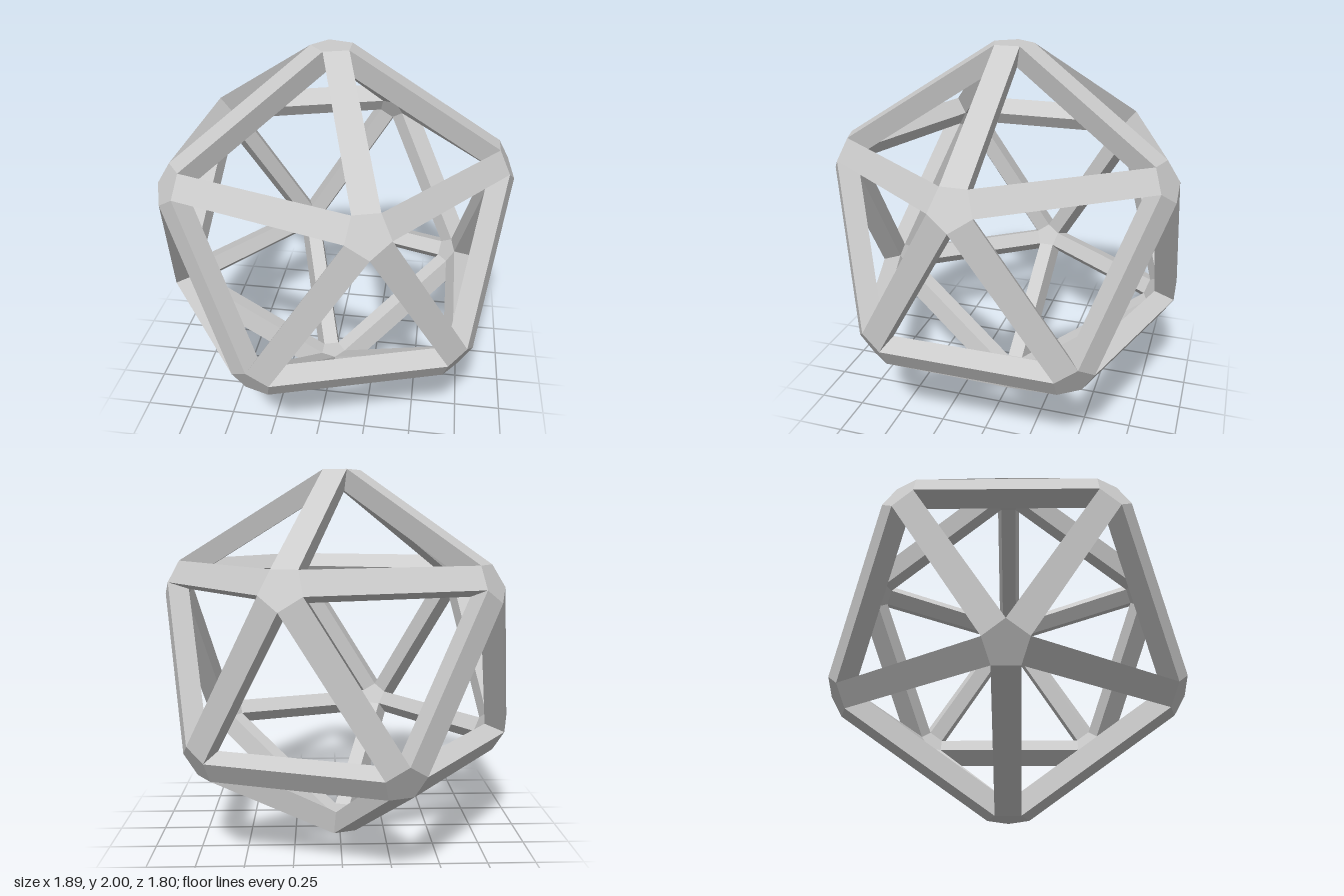
import * as THREE from 'three';

const OUTER = { h: 1, r: 0.111 };      // outer joint pentagon: distance from centre, circumradius
const INNER = { h: 0.89, r: 0.073 };   // inner joint pentagon

// Twelve directions of an icosahedron standing on one corner
function directions() {
  const list = [new THREE.Vector3(0, 1, 0), new THREE.Vector3(0, -1, 0)];
  const y = 1 / Math.sqrt(5), rad = 2 * y;
  for (let k = 0; k < 5; k++) {
    const a = k * Math.PI * 0.4, b = a + Math.PI * 0.2;
    list.push(new THREE.Vector3(rad * Math.cos(a), y, rad * Math.sin(a)));
    list.push(new THREE.Vector3(rad * Math.cos(b), -y, rad * Math.sin(b)));
  }
  return list;
}

const adjacent = (a, b) => a !== b && a.dot(b) > 0.4;

// Pentagon corner at joint v that points into the triangle v, a, b
function corner(v, a, b, ring) {
  const u = a.clone().add(b);
  u.addScaledVector(v, -u.dot(v)).normalize();
  return v.clone().multiplyScalar(ring.h).addScaledVector(u, ring.r);
}

// Flat faces of a convex part, each turned away from the part's middle
function facetGeometry(faces) {
  const all = faces.flat();
  const mid = all.reduce((s, p) => s.add(p), new THREE.Vector3()).divideScalar(all.length);
  const pos = [];
  for (const f of faces) {
    const n = f[1].clone().sub(f[0]).cross(f[2].clone().sub(f[0]));
    const poly = n.dot(f[0].clone().sub(mid)) < 0 ? [...f].reverse() : f;
    for (let i = 1; i < poly.length - 1; i++)
      for (const p of [poly[0], poly[i], poly[i + 1]]) pos.push(p.x, p.y, p.z);
  }
  const g = new THREE.BufferGeometry();
  g.setAttribute('position', new THREE.Float32BufferAttribute(pos, 3));
  g.computeVertexNormals();
  return g;
}

export function createModel() {
  const model = new THREE.Group();
  model.name = 'icosahedronFrame';
  const mat = new THREE.MeshStandardMaterial({ color: 0xcccccc, flatShading: true });
  const joints = new THREE.Group(), struts = new THREE.Group();
  joints.name = 'joints';
  struts.name = 'struts';
  model.add(joints, struts);
  model.position.y = 1;

  const add = (group, name, faces) => {
    const mesh = new THREE.Mesh(facetGeometry(faces), mat);
    mesh.name = name;
    group.add(mesh);
  };

  const dirs = directions();
  dirs.forEach((v, i) => {
    // Joint: outer and inner pentagon caps, neighbours walked in order round v
    const near = dirs.filter(d => adjacent(v, d));
    const walk = [near[0]];
    while (walk.length < 5)
      walk.push(near.find(d => !walk.includes(d) && adjacent(d, walk[walk.length - 1])));
    add(joints, 'joint', [OUTER, INNER].map(ring =>
      walk.map((d, k) => corner(v, d, walk[(k + 1) % 5], ring))));

    // Strut: tapered bar between two joints, ends left open where they meet the joints
    for (const w of dirs.slice(i + 1).filter(d => adjacent(v, d))) {
      const [c, d] = near.filter(n => adjacent(n, w));
      const [o, n] = [OUTER, INNER].map(ring => [
        corner(v, w, c, ring), corner(w, v, c, ring),
        corner(w, v, d, ring), corner(v, w, d, ring)]);
      add(struts, 'strut', [o, n, [o[0], o[1], n[1], n[0]], [o[3], o[2], n[2], n[3]]]);
    }
  });

  const root = new THREE.Group();
  root.name = 'openPolyhedron';
  root.add(model);
  return root;
}
